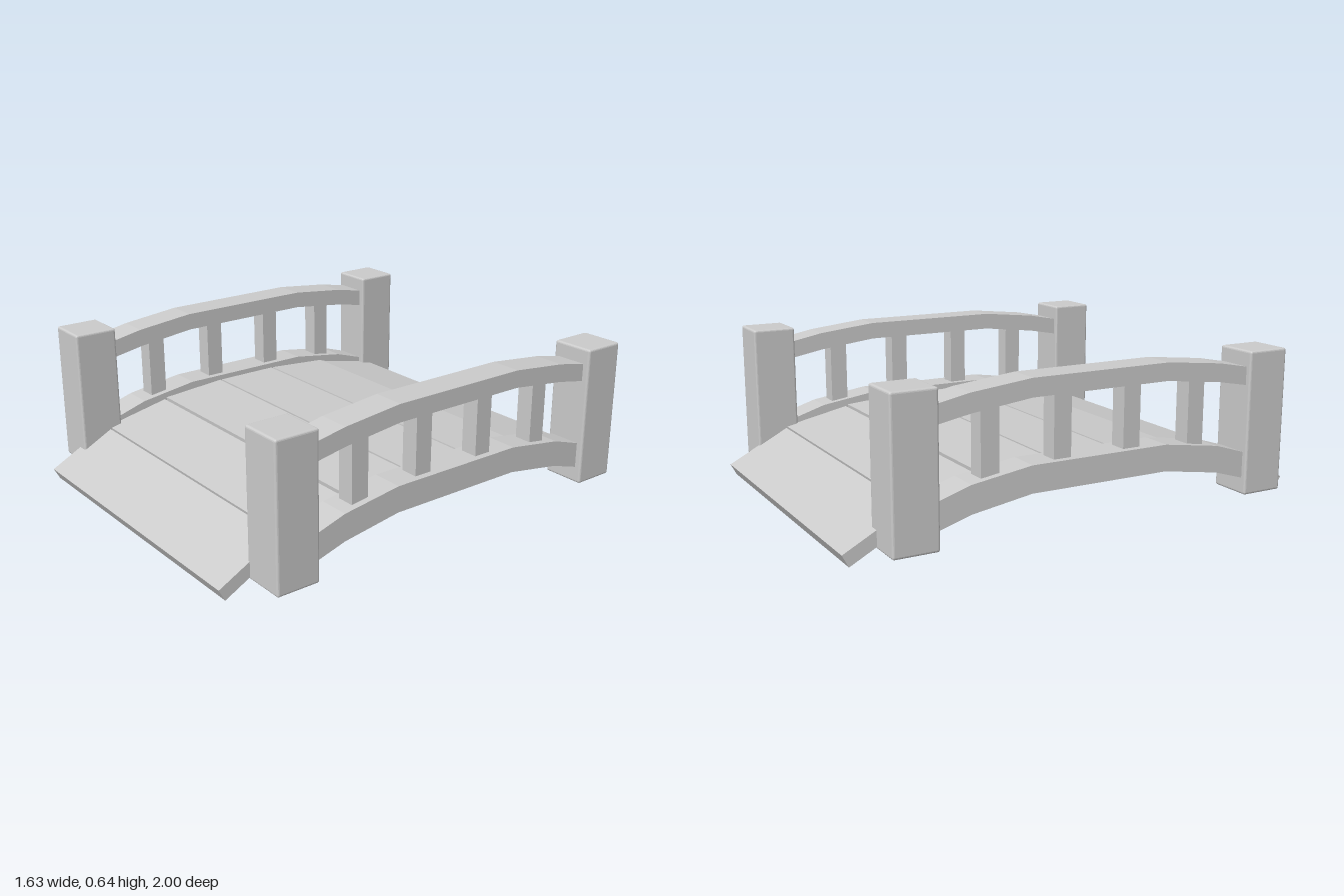
import * as THREE from 'three';
import { RoundedBoxGeometry } from 'three/addons/geometries/RoundedBoxGeometry.js';

const material = new THREE.MeshStandardMaterial({ color: 0xcccccc, flatShading: true });

// Half profiles as [z, bottom, top], mirrored to the back
const BEAM = [[0.3, 0.2, 0.307], [0.55, 0.16, 0.27], [0.69, 0.118, 0.226], [0.75, 0.098, 0.206]];
const HANDRAIL = [[0.3, 0.558, 0.63], [0.55, 0.528, 0.603], [0.69, 0.502, 0.576], [0.75, 0.49, 0.564]];

// Plank tops as [z start, y start, z end, y end], from the crown outwards
const PLANKS = [
  [0.15, 0.285, 0.438, 0.263],
  [0.448, 0.256, 0.735, 0.195],
  [0.74, 0.19, 1.0, 0.052],
];
const DECK_X = -0.0175, DECK_WIDTH = 1.325, PLANK_THICKNESS = 0.055;

function add(parent, name, geometry, x = 0, y = 0, z = 0) {
  const mesh = new THREE.Mesh(geometry, material);
  mesh.name = name;
  mesh.position.set(x, y, z);
  parent.add(mesh);
  return mesh;
}

// Arched bar running front to back, extruded across x
function archedBar(half, width) {
  const top = half.map(([z, , t]) => new THREE.Vector2(z, t));
  const bottom = half.map(([z, b]) => new THREE.Vector2(z, b));
  const flip = (p) => new THREE.Vector2(-p.x, p.y);
  const outline = [
    ...top,
    ...bottom.slice().reverse(),
    ...bottom.map(flip),
    ...top.map(flip).reverse(),
  ];
  const geometry = new THREE.ExtrudeGeometry(new THREE.Shape(outline), { depth: width, bevelEnabled: false });
  return geometry.translate(0, 0, -width / 2).rotateY(-Math.PI / 2);
}

// Plank whose upper surface runs between two points in the z-y plane
function addPlank(parent, name, z0, y0, z1, y1) {
  const length = Math.hypot(z1 - z0, y1 - y0);
  const angle = Math.atan2(y0 - y1, z1 - z0);
  const geometry = new THREE.BoxGeometry(DECK_WIDTH, PLANK_THICKNESS, length);
  geometry.translate(0, -PLANK_THICKNESS / 2, 0);
  const plank = add(parent, name, geometry, DECK_X, (y0 + y1) / 2, (z0 + z1) / 2);
  plank.rotation.x = angle;
}

export function createModel() {
  const bridge = new THREE.Group();
  bridge.name = 'footbridge';

  // Deck: level crown plank, then tilted planks and ramps on both ends
  const deck = new THREE.Group();
  deck.name = 'deck';
  bridge.add(deck);
  addPlank(deck, 'crownPlank', -0.14, 0.285, 0.14, 0.285);
  for (const end of [1, -1]) {
    const half = new THREE.Group();
    half.name = end > 0 ? 'frontDeck' : 'backDeck';
    PLANKS.forEach(([z0, y0, z1, y1], i) => {
      const name = i === 2 ? 'ramp' : 'plank';
      if (end > 0) addPlank(half, name, z0, y0, z1, y1);
      else addPlank(half, name, -z1, y1, -z0, y0);
    });
    deck.add(half);
  }

  // Railings: beam, handrail, balusters and end posts
  for (const side of [1, -1]) {
    const railing = new THREE.Group();
    railing.name = side > 0 ? 'leftRailing' : 'rightRailing';
    bridge.add(railing);
    const x = side > 0 ? 0.721 : -0.726;
    add(railing, 'sideBeam', archedBar(BEAM, 0.132), x);
    add(railing, 'handrail', archedBar(HANDRAIL, 0.132), x);
    for (const z of [-0.46, -0.155, 0.155, 0.46]) {
      add(railing, 'baluster', new THREE.BoxGeometry(0.075, 0.3, 0.075), x, Math.abs(z) > 0.3 ? 0.4 : 0.42, z);
    }
    for (const z of [-0.776, 0.776]) {
      add(railing, 'post', new RoundedBoxGeometry(0.183, 0.59, 0.183, 2, 0.009), side * 0.724, 0.346, z);
    }
  }
  return bridge;
}
